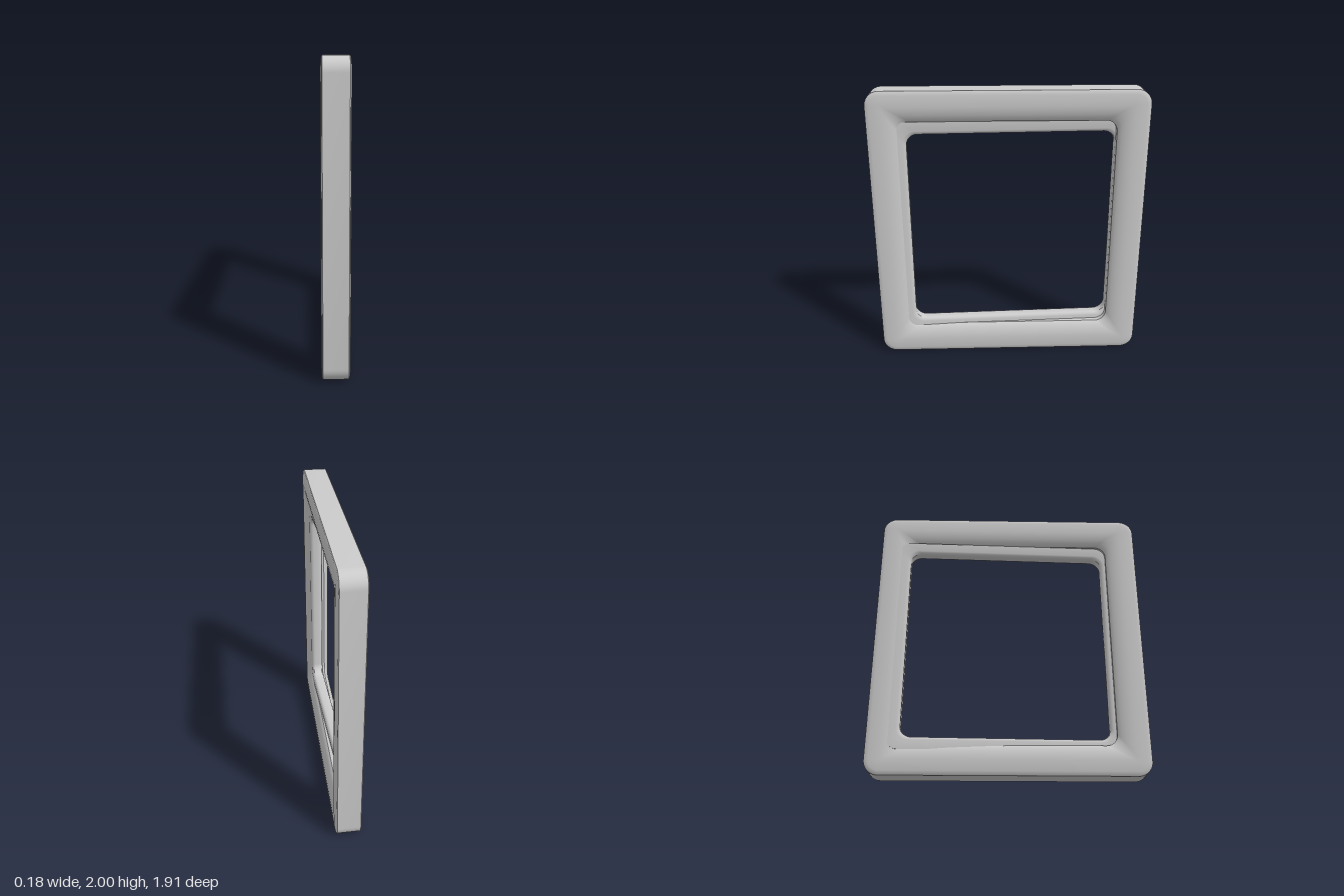
import * as THREE from 'three';
import { toCreasedNormals } from 'three/addons/utils/BufferGeometryUtils.js';

const CORNER_STEPS = 10;

// Rounded rectangle in the z/y plane as a closed ring of [z, y] points
function roundedRing(halfZ, halfY, radius) {
  const ring = [];
  const signs = [[1, 1], [-1, 1], [-1, -1], [1, -1]];
  signs.forEach(([sz, sy], q) => {
    for (let k = 0; k <= CORNER_STEPS; k++) {
      const a = (q + k / CORNER_STEPS) * Math.PI / 2;
      ring.push([
        sz * (halfZ - radius) + radius * Math.cos(a),
        sy * (halfY - radius) + radius * Math.sin(a),
      ]);
    }
  });
  return ring;
}

// Sweep a closed profile of [inset, x] points around a rounded rectangle
function frameGeometry(halfZ, halfY, profile, radiusAt) {
  const positions = [], index = [];
  const n = 4 * (CORNER_STEPS + 1), m = profile.length;
  profile.forEach(([inset, x], i) => {
    roundedRing(halfZ - inset, halfY - inset, radiusAt(inset))
      .forEach(([z, y]) => positions.push(x, y, z));
    for (let j = 0; j < n; j++) {
      const i2 = (i + 1) % m, j2 = (j + 1) % n;
      const a = i * n + j, b = i2 * n + j, c = i2 * n + j2, d = i * n + j2;
      index.push(a, b, c, a, c, d);
    }
  });
  const geometry = new THREE.BufferGeometry();
  geometry.setAttribute('position', new THREE.Float32BufferAttribute(positions, 3));
  geometry.setIndex(index);
  return toCreasedNormals(geometry, 0.6);
}

// Mirror one half of a profile (x > 0) to close it
function mirrored(half) {
  return [...half, ...half.map(([d, x]) => [d, -x]).reverse()];
}

export function createModel() {
  const group = new THREE.Group();
  const material = new THREE.MeshStandardMaterial({ color: 0xcccccc });

  // Outer moulding: pillowed faces that roll down to the opening
  const moulding = mirrored([
    [0, 0.08], [0.006, 0.085], [0.03, 0.089], [0.07, 0.092], [0.105, 0.092],
    [0.135, 0.089], [0.165, 0.081], [0.19, 0.07], [0.207, 0.058], [0.215, 0.048],
  ]);
  const mouldingRadius = (d) => d < 0.09
    ? 0.1 - d
    : 0.01 + 0.07 * (d - 0.09) / 0.125;
  const frame = new THREE.Mesh(frameGeometry(0.955, 1, moulding, mouldingRadius), material);
  frame.name = 'outerFrame';
  frame.position.y = 1;
  group.add(frame);

  // Inner lip: a slimmer frame set slightly askew in the opening
  const lip = mirrored([
    [0, 0.045], [0.065, 0.045], [0.078, 0.041], [0.087, 0.032], [0.09, 0.02],
  ]);
  const insert = new THREE.Mesh(frameGeometry(0.8075, 0.805, lip, () => 0.08), material);
  insert.name = 'innerLip';
  insert.position.set(-0.011, 0.98, -0.0175);
  insert.rotation.y = 0.037;
  group.add(insert);

  return group;
}
